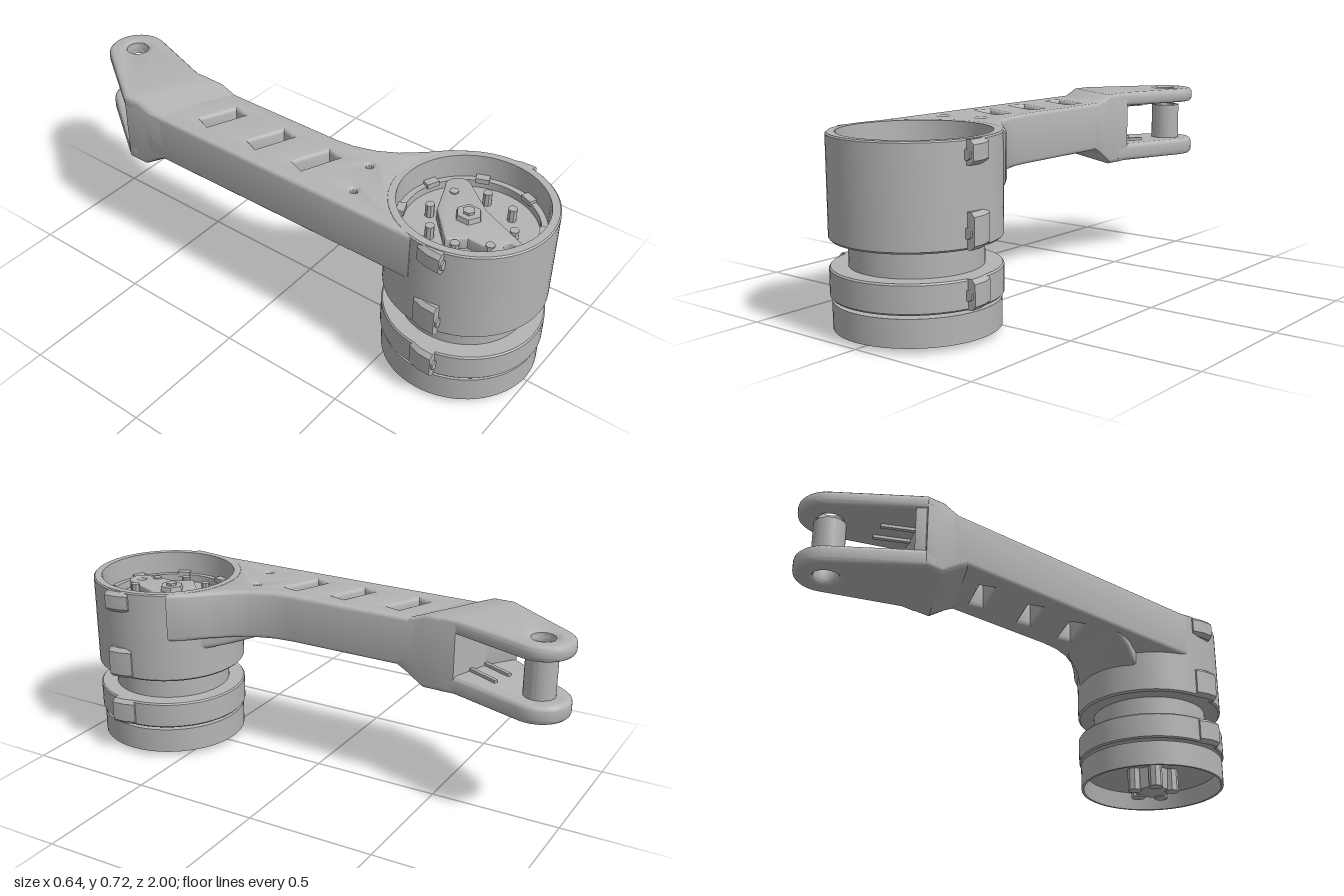
import * as THREE from 'three';
import { toCreasedNormals } from 'three/addons/utils/BufferGeometryUtils.js';

export function createModel() {
  const model = new THREE.Group();
  const grey = new THREE.MeshStandardMaterial({ color: 0xb4b4b4 });
  grey.name = 'machined grey';
  const CZ = 0.703; // z of the clamp axis
  const PIN_Z = -0.885;

  const add = (name, geometry, x = 0, y = 0, z = 0) => {
    const mesh = new THREE.Mesh(toCreasedNormals(geometry, 0.6), grey);
    mesh.name = name;
    mesh.position.set(x, y, z);
    model.add(mesh);
    return mesh;
  };

  // Turned part about the clamp axis: [radius, y] from bottom to top
  const turned = (name, profile, z = CZ) =>
    add(name, new THREE.LatheGeometry(profile.map(p => new THREE.Vector2(...p)), 64), 0, 0, z);

  // Plan outline in [x, z], extruded upwards from y0 to y1 with rounded edges;
  // the outline is wound clockwise and holes counter-clockwise
  const toPlan = (pts, clockwise) => {
    const plan = pts.map(([x, z]) => new THREE.Vector2(x, -z));
    return THREE.ShapeUtils.isClockWise(plan) === clockwise ? plan : plan.reverse();
  };
  const plate = (name, outline, holes, y0, y1, bevel) => {
    const shape = new THREE.Shape(toPlan(outline, true));
    shape.holes = holes.map(h => new THREE.Path(toPlan(h, false)));
    const geo = new THREE.ExtrudeGeometry(shape, {
      depth: y1 - y0 - 2 * bevel, bevelThickness: bevel, bevelSize: bevel,
      bevelOffset: -bevel, bevelSegments: 3,
    });
    geo.rotateX(-Math.PI / 2);
    return add(name, geo, 0, y0 + bevel, 0);
  };
  const arc = (cx, cz, r, from, to, n) => Array.from({ length: n + 1 }, (_, i) => {
    const a = THREE.MathUtils.degToRad(from + (to - from) * i / n);
    return [cx + r * Math.cos(a), cz - r * Math.sin(a)];
  });

  // Rounded box section lofted towards -z: [leftX, leftZ, rightX, rightZ, y0, y1]
  const loft = (name, sections, radius, steps = 3) => {
    const pos = [], idx = [], n = 4 * (steps + 1);
    for (const [lx, lz, rx, rz, y0, y1] of sections)
      for (let i = 0; i < n; i++) {
        const corner = Math.floor(i / (steps + 1)); // bottom left, then counter-clockwise
        const a = Math.PI * (1 + corner / 2 + (i % (steps + 1)) / steps / 2);
        const right = corner === 1 || corner === 2, top = corner > 1;
        const u = (right ? 1 : 0) + ((right ? -1 : 1) + Math.cos(a)) * radius / (rx - lx);
        const y = (top ? y1 - radius : y0 + radius) + Math.sin(a) * radius;
        pos.push(lx + (rx - lx) * u, y, lz + (rz - lz) * u);
      }
    const last = (sections.length - 1) * n;
    for (let s = 0; s < last; s += n)
      for (let i = 0; i < n; i++) {
        const a = s + i, b = s + (i + 1) % n;
        idx.push(a, a + n, b, b, a + n, b + n);
      }
    for (let i = 1; i < n - 1; i++) idx.push(0, i, i + 1, last, last + i + 1, last + i);
    const geo = new THREE.BufferGeometry();
    geo.setAttribute('position', new THREE.Float32BufferAttribute(pos, 3));
    geo.setIndex(idx);
    return add(name, geo);
  };

  // Stacked clamp, motor body and base cap
  turned('clampHousing', [[0, 0.33], [0.29, 0.33], [0.297, 0.337], [0.297, 0.685], [0.292, 0.69],
    [0.265, 0.69], [0.262, 0.6], [0.24, 0.6], [0.24, 0.57], [0, 0.57]]);
  turned('motorBody', [[0, 0.11], [0.232, 0.11], [0.232, 0.34], [0, 0.34]]);
  turned('lowerClampRing', [[0.22, 0.13], [0.292, 0.13], [0.297, 0.136], [0.297, 0.229],
    [0.292, 0.235], [0.22, 0.235]]);
  turned('baseCap', [[0, 0.09], [0.27, 0.09], [0.28, 0.02], [0.29, 0.02], [0.29, 0.118], [0, 0.118]]);

  // Clamp lugs with their bolts, mirrored on both sides
  for (const side of [-1, 1])
    for (const [y0, y1, boltY] of [[0.605, 0.688, 0.64], [0.33, 0.455, 0.385], [0.13, 0.235, 0.18]]) {
      const section = (reach, z) => {
        const [a, b] = [side * 0.27, side * reach].sort((p, q) => p - q);
        return [a, z, b, z, y0, y1];
      };
      loft('clampLug', [section(0.319, 0.77), section(0.317, 0.72), section(0.302, 0.675)], 0.015, 1);
      const bolt = new THREE.CylinderGeometry(0.02, 0.02, 0.012, 6);
      bolt.rotateX(Math.PI / 2);
      add('clampBolt', bolt, side * 0.293, boltY, 0.771);
    }

  // Hub and bolts under the base cap
  add('baseHub', new THREE.CylinderGeometry(0.075, 0.07, 0.09, 10), 0, 0.05, CZ);
  for (const [x, z] of arc(0, CZ, 0.08, 0, 288, 4))
    add('baseHubBolt', new THREE.CylinderGeometry(0.028, 0.028, 0.09, 8), x, 0.045, z);

  // Mechanism in the open housing: rocker, hub, screws and rim blocks
  plate('rocker', [...arc(-0.055, 0.885, 0.05, 170, 350, 10), [0.07, 0.72],
    ...arc(0.13, 0.57, 0.05, -20, 130, 8), [-0.03, 0.58], [-0.15, 0.69], [-0.1, 0.75]],
  [arc(-0.055, 0.885, 0.02, 0, 330, 11)], 0.565, 0.615, 0.006);
  add('rockerHub', new THREE.CylinderGeometry(0.045, 0.05, 0.025, 6), 0, 0.622, 0.69);
  add('rockerHubBolt', new THREE.CylinderGeometry(0.022, 0.022, 0.02, 6), 0, 0.635, 0.69);
  for (const [x, z] of arc(0, CZ, 0.155, 10, 325, 7))
    add('motorScrew', new THREE.CylinderGeometry(0.017, 0.017, 0.055, 8), x, 0.593, z);
  for (const [x, z] of arc(0, CZ, 0.247, 22, 337, 7))
    add('rimBlock', new THREE.BoxGeometry(0.05, 0.02, 0.03), x, 0.602, z)
      .rotation.y = Math.atan2(x, z - CZ);

  // Arm beam, hugging the housing and pierced by three slanted windows
  const windows = [-0.31, -0.077, 0.133].map(z =>
    [[-0.198, z - 0.055], [-0.063, z + 0.003], [-0.075, z + 0.056], [-0.217, z - 0.005]]);
  const smallHoles = [[-0.2, 0.345], [-0.05, 0.305]].map(([x, z]) => arc(x, z, 0.012, 0, 315, 7));
  plate('armBeam', [[-0.292, 0.64], [-0.292, -0.56], [0.012, -0.4], [0.012, 0.12], [0.02, 0.19],
    [0.045, 0.27], [0.085, 0.34], [0.145, 0.41], [0.21, 0.475], [0.25, 0.53],
    ...arc(0, CZ, 0.28, 36, 168, 24)],
  [...windows, ...smallHoles], 0.5, 0.69, 0.015);
  loft('armGusset', [[-0.17, 0.465, 0.165, 0.465, 0.445, 0.56], [-0.23, 0.37, 0.08, 0.37, 0.462, 0.56],
    [-0.275, 0.25, 0.02, 0.25, 0.501, 0.56]], 0.02);

  // Slanted shoulder that thickens the arm into the fork
  loft('forkShoulder', [[-0.292, -0.49, 0.012, -0.33, 0.5, 0.69],
    [-0.292, -0.53, 0.012, -0.37, 0.478, 0.69], [-0.292, -0.6, 0.012, -0.44, 0.43, 0.717],
    [-0.292, -0.67, 0.012, -0.565, 0.43, 0.717]], 0.018);

  // Two tines with an eye at the tip
  const tine = [[-0.292, -0.63], [-0.292, -0.67], ...arc(0, PIN_Z, 0.115, 146, -19, 18),
    [0.012, -0.565], [0.012, -0.5]];
  for (const [name, y0, y1] of [['upperTine', 0.66, 0.717], ['lowerTine', 0.43, 0.5]])
    plate(name, tine, [arc(0, PIN_Z, 0.044, 0, 345, 23)], y0, y1, 0.018);

  // Web between the tines and low ribs on their inner faces
  plate('forkWeb', [[-0.285, -0.62], [-0.285, -0.67], [-0.262, -0.7], [-0.21, -0.66],
    [-0.12, -0.6], [-0.12, -0.55]], [], 0.48, 0.68, 0.005);
  for (const [x, z] of [[-0.13, -0.67], [-0.05, -0.65]])
    for (const y of [0.503, 0.657])
      add('forkRib', new THREE.BoxGeometry(0.015, 0.016, 0.15), x, y, z).rotation.y = -0.45;

  // Hollow pivot pin with a raised collar around the upper eye
  turned('pivotPin', [[0.044, 0.495], [0.058, 0.495], [0.058, 0.643], [0.044, 0.643], [0.044, 0.495]], PIN_Z);
  turned('eyeCollar', [[0.044, 0.665], [0.066, 0.665], [0.066, 0.717], [0.044, 0.712], [0.044, 0.665]], PIN_Z);

  return model;
}
